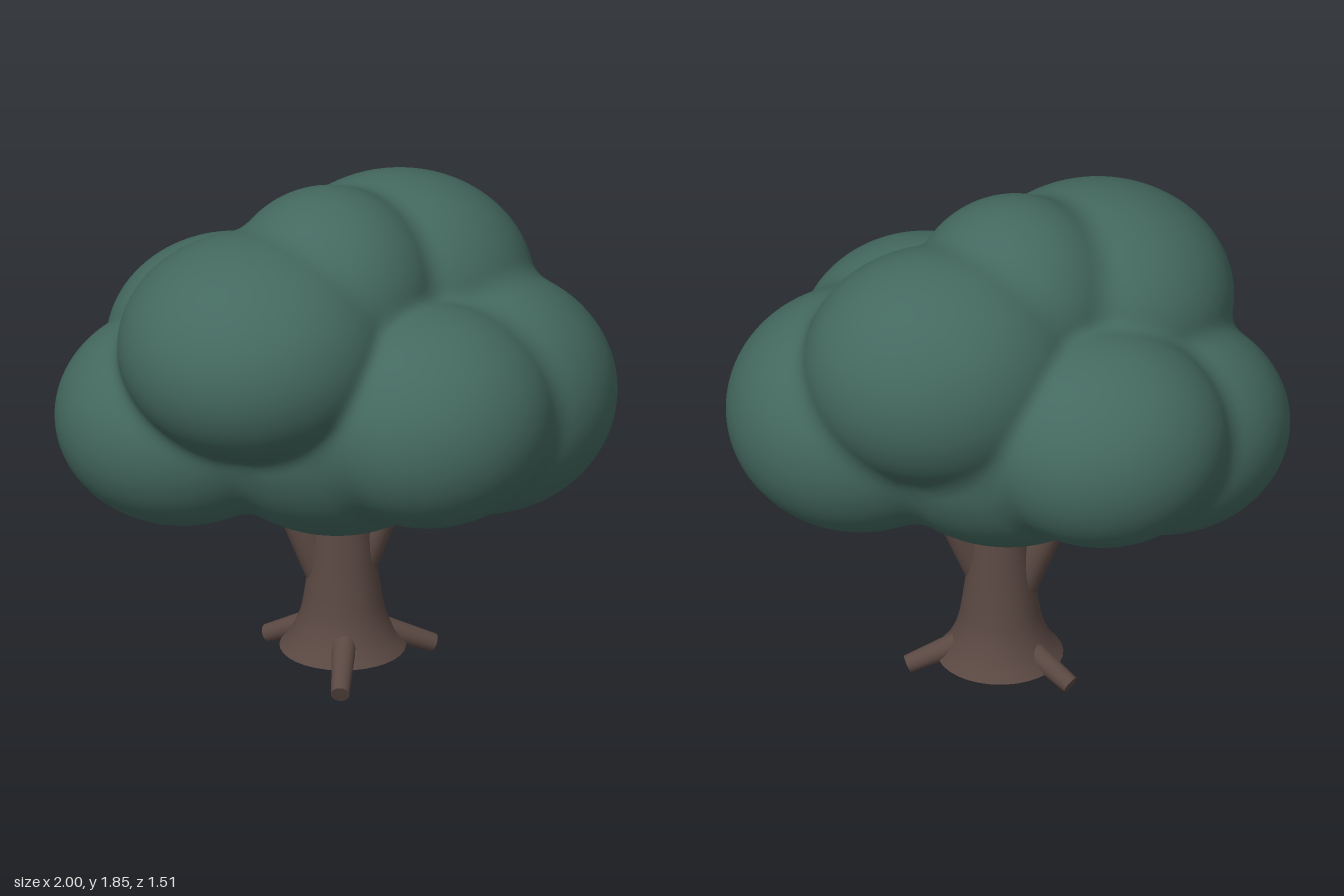
import * as THREE from 'three';
import { mergeVertices } from 'three/addons/utils/BufferGeometryUtils.js';

// Foliage clumps: centre xyz, radii xyz
const CLUMPS = [
  [-0.33, 1.37, 0.22, 0.485, 0.40, 0.47],
  [0.28, 1.11, 0.33, 0.45, 0.40, 0.425],
  [0.52, 1.05, 0.02, 0.48, 0.44, 0.45],
  [0.25, 1.36, -0.21, 0.49, 0.43, 0.43],
  [-0.03, 1.47, 0.03, 0.38, 0.385, 0.38],
  [-0.54, 1.0, -0.05, 0.46, 0.395, 0.42],
  [-0.32, 1.13, -0.35, 0.45, 0.39, 0.405],
  [0, 1.08, 0, 0.55, 0.515, 0.55],
];

// Smoothly blended distance to all clumps
function field(p) {
  const k = 0.05;
  let d = Infinity;
  for (const [x, y, z, a, b, c] of CLUMPS) {
    const e = (Math.hypot((p.x - x) / a, (p.y - y) / b, (p.z - z) / c) - 1) * Math.min(a, b, c);
    if (d === Infinity) { d = e; continue; }
    const h = Math.max(k - Math.abs(d - e), 0) / k;
    d = Math.min(d, e) - h * h * k / 4;
  }
  return d;
}

// Push a fine ball out to the outermost blended surface along each ray
function canopyGeometry() {
  let geo = new THREE.IcosahedronGeometry(1, 44);
  geo.deleteAttribute('uv');
  geo.deleteAttribute('normal');
  geo = mergeVertices(geo);
  const centre = new THREE.Vector3(0, 1.14, 0);
  const pos = geo.attributes.position;
  const dir = new THREE.Vector3();
  const p = new THREE.Vector3();
  const at = (t) => field(p.copy(centre).addScaledVector(dir, t));
  for (let i = 0; i < pos.count; i++) {
    dir.fromBufferAttribute(pos, i).normalize();
    let hi = 1.2;
    while (hi > 0.05 && at(hi) > 0) hi -= 0.02;
    let lo = hi;
    hi += 0.02;
    for (let n = 0; n < 12; n++) {
      const mid = (lo + hi) / 2;
      if (at(mid) > 0) hi = mid; else lo = mid;
    }
    p.copy(centre).addScaledVector(dir, lo);
    pos.setXYZ(i, p.x, p.y, p.z);
  }
  geo.computeVertexNormals();
  return geo;
}

// Tapered limb between two points
function limb(name, from, to, r0, r1, material) {
  const a = new THREE.Vector3(...from);
  const b = new THREE.Vector3(...to);
  const mesh = new THREE.Mesh(new THREE.CylinderGeometry(r1, r0, a.distanceTo(b), 20), material);
  mesh.name = name;
  mesh.position.copy(a).add(b).multiplyScalar(0.5);
  mesh.quaternion.setFromUnitVectors(new THREE.Vector3(0, 1, 0), b.clone().sub(a).normalize());
  return mesh;
}

export function createModel() {
  const leaf = new THREE.MeshStandardMaterial({ color: 0x44695f });
  leaf.name = 'leaf green';
  const bark = new THREE.MeshStandardMaterial({ color: 0x5a4842 });
  bark.name = 'bark brown';

  const tree = new THREE.Group();
  tree.name = 'tree';

  const canopy = new THREE.Mesh(canopyGeometry(), leaf);
  canopy.name = 'canopy';
  tree.add(canopy);

  // Flared trunk
  const profile = new THREE.SplineCurve([
    [0.225, 0.06], [0.185, 0.115], [0.15, 0.2], [0.13, 0.32], [0.115, 0.45], [0.1, 0.6], [0.095, 0.75],
  ].map(([x, y]) => new THREE.Vector2(x, y))).getPoints(24);
  const trunk = new THREE.Mesh(new THREE.LatheGeometry(profile, 32), bark);
  trunk.name = 'trunk';
  trunk.position.set(0.03, 0, -0.05);
  tree.add(trunk);

  // Underside of the trunk
  const base = new THREE.Mesh(new THREE.CircleGeometry(0.225, 32), bark);
  base.name = 'trunkBase';
  base.rotation.x = Math.PI / 2;
  base.position.set(0.03, 0.06, -0.05);
  tree.add(base);

  // Roots
  tree.add(
    limb('frontRoot', [0.02, 0.14, 0.06], [-0.035, 0.033, 0.315], 0.045, 0.033, bark),
    limb('leftRoot', [0.13, 0.13, -0.06], [0.36, 0.033, -0.075], 0.045, 0.033, bark),
    limb('backRoot', [-0.04, 0.14, -0.11], [-0.21, 0.033, -0.245], 0.045, 0.033, bark),
  );

  // Branches reaching into the canopy
  tree.add(
    limb('leftBranch', [0.06, 0.32, -0.03], [0.25, 0.75, -0.055], 0.065, 0.055, bark),
    limb('rightBranch', [-0.02, 0.3, -0.06], [-0.21, 0.75, -0.08], 0.065, 0.055, bark),
  );
  return tree;
}
